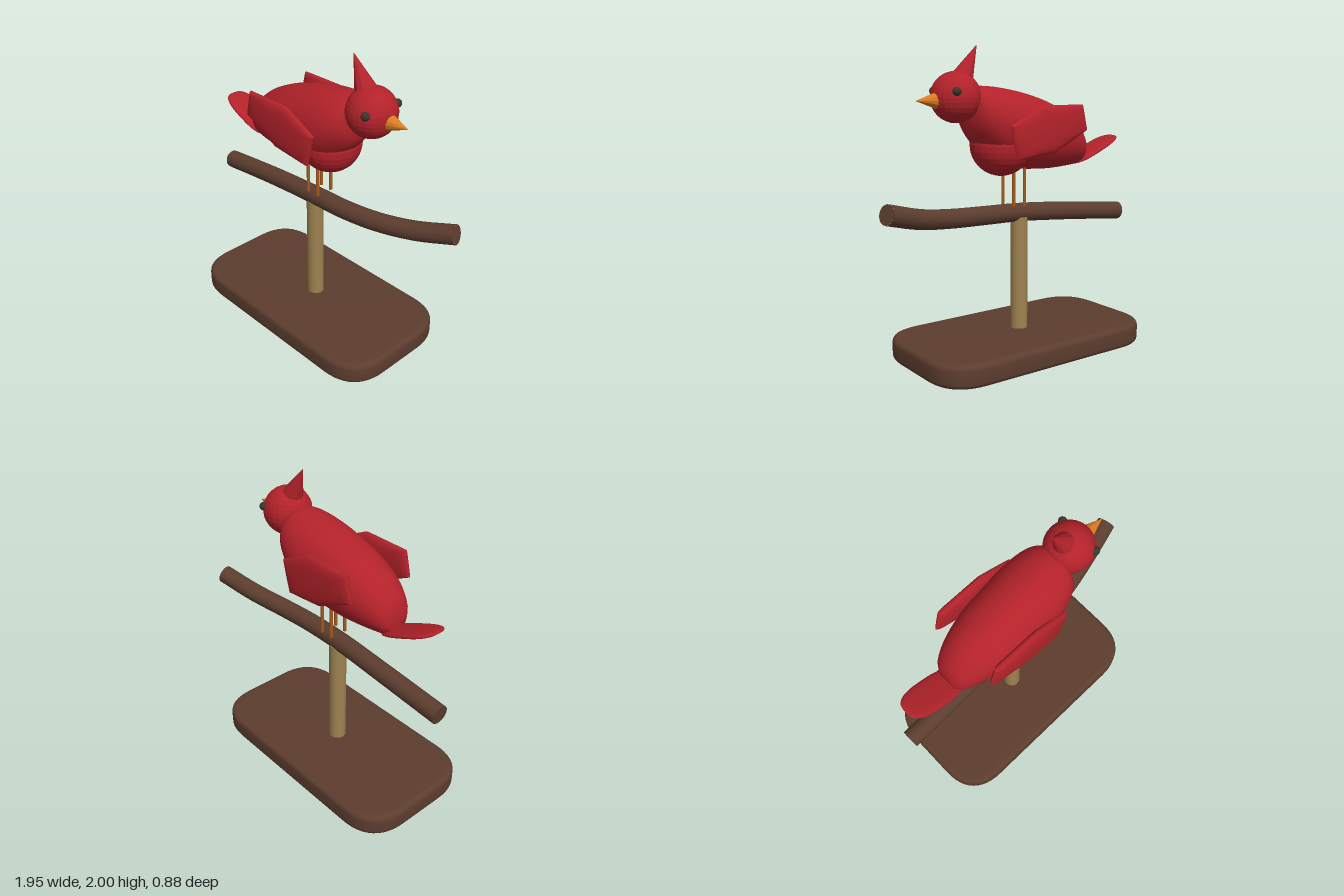
import * as THREE from 'three';
import { toCreasedNormals } from 'three/addons/utils/BufferGeometryUtils.js';

const V = (x, y, z = 0) => new THREE.Vector3(x, y, z);

// Skin closed rings of points, in order along the shape
function loft(rings, crease) {
  const n = rings[0].length, index = [];
  for (let i = 0; i < rings.length - 1; i++) {
    for (let j = 0; j < n; j++) {
      const k = (j + 1) % n, a = i * n, b = a + n;
      index.push(a + j, a + k, b + k, a + j, b + k, b + j);
    }
  }
  const geo = new THREE.BufferGeometry().setFromPoints(rings.flat());
  geo.setIndex(index);
  return toCreasedNormals(geo, crease);
}

// Puffed plate: an outline that shrinks to the middle on both sides
function pillow(outline, cx, cy, halfDepth, crease) {
  const rings = [], steps = 12;
  for (let i = 0; i <= steps; i++) {
    const a = (i / steps - 0.5) * Math.PI;
    const s = Math.sqrt(Math.max(0, Math.cos(a)));
    rings.push(outline.map(([x, y]) =>
      V(cx + (x - cx) * s, cy + (y - cy) * s, halfDepth * Math.sin(a))));
  }
  return loft(rings, crease);
}

// Body sections: top x, top y, bottom x, bottom y, half width
function bodyGeometry() {
  const sections = [
    [-0.6, 1.385, -0.6, 1.25, 0.07],
    [-0.57, 1.455, -0.56, 1.225, 0.115],
    [-0.48, 1.55, -0.45, 1.212, 0.165],
    [-0.32, 1.635, -0.25, 1.205, 0.21],
    [-0.12, 1.7, -0.04, 1.225, 0.225],
    [0.05, 1.735, 0.14, 1.29, 0.225],
    [0.2, 1.75, 0.25, 1.39, 0.195],
    [0.27, 1.745, 0.305, 1.47, 0.15],
    [0.308, 1.71, 0.322, 1.56, 0.08],
  ];
  const top = new THREE.CatmullRomCurve3(sections.map(s => V(s[0], s[1], s[4])));
  const bottom = new THREE.CatmullRomCurve3(sections.map(s => V(s[2], s[3])));
  const rings = [], steps = 32, sides = 32;
  for (let i = 0; i <= steps; i++) {
    const t = top.getPoint(i / steps), b = bottom.getPoint(i / steps);
    const ring = [];
    for (let j = 0; j < sides; j++) {
      const a = (j / sides) * Math.PI * 2, c = Math.cos(a) / 2;
      ring.push(V((t.x + b.x) / 2 + (t.x - b.x) * c,
        (t.y + b.y) / 2 + (t.y - b.y) * c, t.z * Math.sin(a)));
    }
    rings.push(ring);
  }
  // Close both ends
  const closed = ring => {
    const mid = ring.reduce((m, p) => m.add(p), V(0, 0)).divideScalar(sides);
    return ring.map(() => mid.clone());
  };
  return loft([closed(rings[0]), ...rings, closed(rings[steps])], 0.8);
}

// Rounded slab lying flat
function slabGeometry(width, depth, height, corner, bevel) {
  const x = width / 2 - bevel, y = depth / 2 - bevel, r = corner;
  const s = new THREE.Shape();
  s.moveTo(-x + r, -y);
  s.lineTo(x - r, -y); s.quadraticCurveTo(x, -y, x, -y + r);
  s.lineTo(x, y - r); s.quadraticCurveTo(x, y, x - r, y);
  s.lineTo(-x + r, y); s.quadraticCurveTo(-x, y, -x, y - r);
  s.lineTo(-x, -y + r); s.quadraticCurveTo(-x, -y, -x + r, -y);
  const geo = new THREE.ExtrudeGeometry(s, {
    depth: height - 2 * bevel, bevelEnabled: true, bevelThickness: bevel,
    bevelSize: bevel, bevelSegments: 5, curveSegments: 12,
  });
  geo.rotateX(-Math.PI / 2).translate(0, bevel, 0);
  return toCreasedNormals(geo, 0.7);
}

export function createModel() {
  const model = new THREE.Group();
  model.name = 'perchedBird';
  const material = (name, color, flatShading = false) => {
    const m = new THREE.MeshStandardMaterial({ color, flatShading });
    m.name = name;
    return m;
  };
  const red = material('red feathers', 0xb3222a);
  const redFacet = red.clone();
  redFacet.flatShading = true;
  const brown = material('dark wood', 0x5c3d2e);
  const tan = material('light wood', 0x9e8350);
  const orange = material('beak orange', 0xdb7d22, true);
  const legBrown = material('leg brown', 0xa35a20);
  const dark = material('eye dark', 0x3b362d);

  const add = (name, geo, mat, x = 0, y = 0, z = 0) => {
    const mesh = new THREE.Mesh(geo, mat);
    mesh.name = name;
    mesh.position.set(x, y, z);
    model.add(mesh);
    return mesh;
  };

  // Stand
  add('base', slabGeometry(1.63, 0.88, 0.15, 0.24, 0.035), brown, -0.085);
  add('post', new THREE.CylinderGeometry(0.057, 0.057, 0.78, 20), tan, -0.085, 0.51);

  // Branch with closed ends
  const path = new THREE.CatmullRomCurve3([
    V(-0.968, 0.853, 0), V(-0.5, 0.898, 0), V(-0.1, 0.927, 0.005), V(0.2, 0.935, 0),
    V(0.45, 0.947, -0.03), V(0.7, 0.977, -0.085), V(0.955, 1.04, -0.15),
  ]);
  add('branch', new THREE.TubeGeometry(path, 40, 0.062, 16), brown);
  for (const t of [0, 1]) {
    const p = path.getPoint(t);
    const cap = add('branchEnd', new THREE.CircleGeometry(0.062, 16), brown, p.x, p.y, p.z);
    cap.quaternion.setFromUnitVectors(V(0, 0, 1), path.getTangent(t).multiplyScalar(t ? 1 : -1));
  }

  // Body, breast and head
  add('body', bodyGeometry(), red);
  add('breast', new THREE.SphereGeometry(0.2, 24, 16), redFacet, 0.06, 1.38);
  add('head', new THREE.SphereGeometry(0.157, 24, 16), redFacet, 0.396, 1.683);

  // Beak and crest
  const beak = add('beak', new THREE.ConeGeometry(0.052, 0.145, 12), orange, 0.602, 1.665);
  beak.rotation.z = -Math.PI / 2;
  const crest = add('crest', new THREE.ConeGeometry(0.07, 0.226, 10), redFacet, 0.2925, 1.9);
  crest.rotation.z = Math.atan2(0.105, 0.2);

  // Tail feather plate
  const tailOutline = [];
  const power = v => Math.sign(v) * Math.abs(v) ** 0.7;
  for (let i = 0; i < 36; i++) {
    const a = (i / 36) * Math.PI * 2;
    tailOutline.push([0.217 * power(Math.cos(a)), 0.105 * power(Math.sin(a))]);
  }
  const tailGeo = pillow(tailOutline, 0, 0, 0.018, 1.2).rotateX(-Math.PI / 2);
  add('tail', tailGeo, red, -0.712, 1.311).rotation.z = -0.412;

  // Wings, eyes and legs on both sides
  const wingOutline = [
    [-0.46, 1.465], [-0.32, 1.395], [-0.18, 1.327], [-0.04, 1.313], [0.1, 1.3],
    [0.128, 1.4], [0.155, 1.51], [0.04, 1.57], [-0.08, 1.63], [-0.25, 1.63],
    [-0.42, 1.63], [-0.44, 1.55],
  ];
  const wingGeo = pillow(wingOutline, -0.15, 1.465, 0.035, 0.7);
  const eyeGeo = new THREE.SphereGeometry(0.027, 14, 10);
  const legGeo = new THREE.CylinderGeometry(0.011, 0.011, 0.32, 10);
  for (const side of [1, -1]) {
    add('wing', wingGeo, red, 0, 0, side * 0.233);
    add('eye', eyeGeo, dark, 0.471, 1.72, side * 0.133);
    for (const x of [-0.085, 0.002]) add('leg', legGeo, legBrown, x, 1.14, side * 0.058);
  }
  return model;
}
